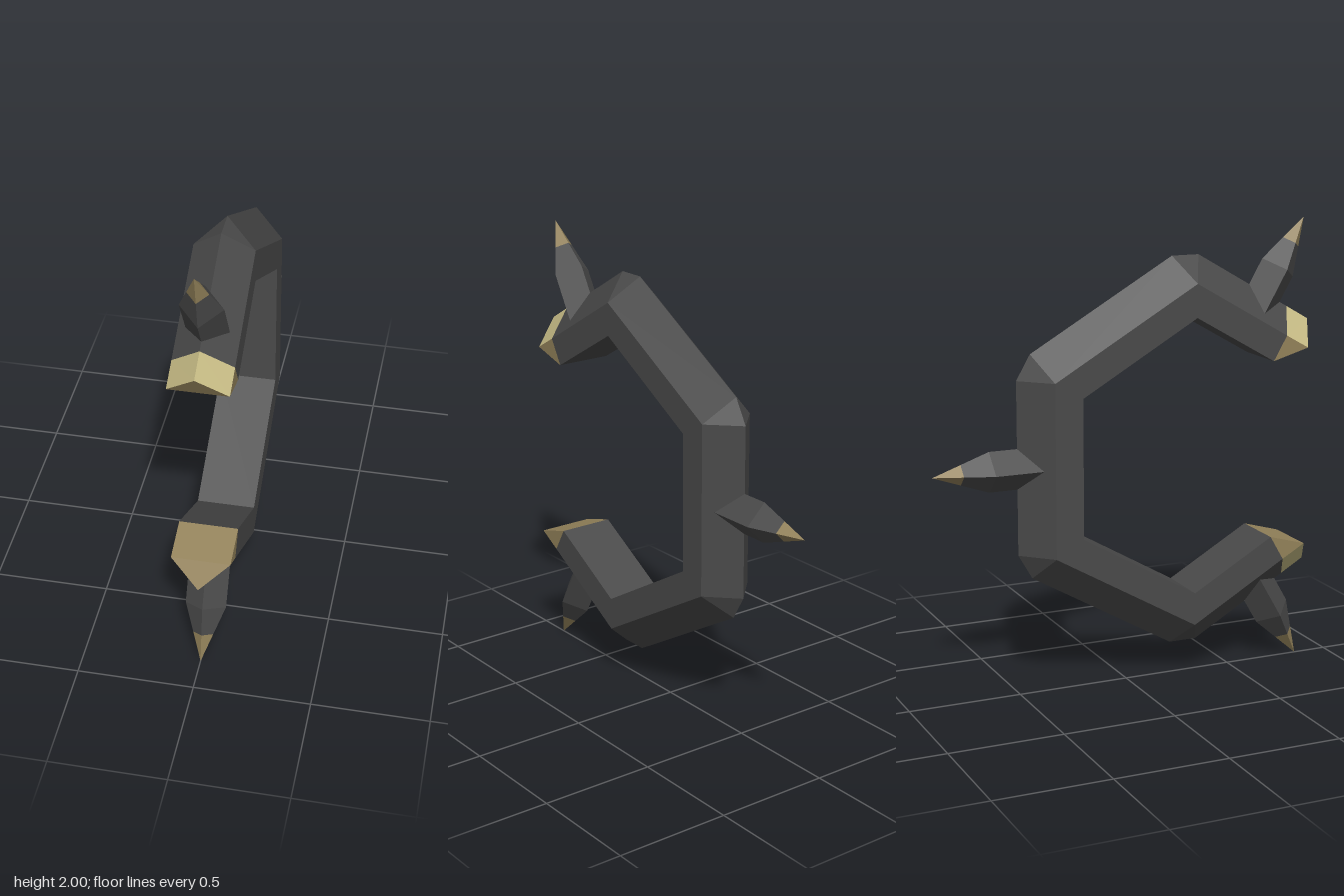
import * as THREE from 'three';

const W = 0.125; // half width of the bar
const R = 0.0875; // half width of a spike

export function createModel() {
  const group = new THREE.Group();
  const mat = (name, color) => {
    const m = new THREE.MeshStandardMaterial({ color, flatShading: true });
    m.name = name;
    return m;
  };
  const darkGrey = mat('darkGrey', 0x4a4a4a);
  const darkGold = mat('darkGold', 0x93825a);
  const paleGold = mat('paleGold', 0xc8bd86);

  // Stations of the upper half, front to back: [z, y] of inner edge, side edge and outer ridge
  const upper = [
    [[0.813, 1.443], [0.813, 1.443], [0.875, 1.55]],
    [[0.645, 1.395], [0.7075, 1.503], [0.77, 1.611]],
    [[0.275, 1.608], [0.275, 1.753], [0.3375, 1.861]],
    [[0.275, 1.608], [0.275, 1.753], [0.2125, 1.861]],
    [[-0.25, 1.304], [-0.375, 1.377], [-0.4375, 1.485]],
    [[-0.25, 1.304], [-0.375, 1.377], [-0.5, 1.377]],
  ];
  const lower = upper.map(s => s.map(([z, y]) => [z, 2 - y])).reverse();
  const rings = [...upper, ...lower].map(([a, b, c]) => [
    [W, a[1], a[0]], [W, b[1], b[0]], [0, c[1], c[0]], [-W, b[1], b[0]], [-W, a[1], a[0]],
  ]);

  const addFaces = (name, material, triangles) => {
    const g = new THREE.BufferGeometry();
    g.setAttribute('position', new THREE.Float32BufferAttribute(triangles.flat(2), 3));
    g.computeVertexNormals();
    const mesh = new THREE.Mesh(g, material);
    mesh.name = name;
    group.add(mesh);
  };
  const same = (p, q) => p.every((v, i) => Math.abs(v - q[i]) < 1e-6);
  // Chosen sides of the bar between neighbouring stations, skipping collapsed triangles
  const strip = (from, to, sides) => {
    const out = [];
    for (let s = from; s < to; s++) {
      for (const i of sides) {
        const j = (i + 1) % 5;
        const [a, b, c, d] = [rings[s][i], rings[s][j], rings[s + 1][j], rings[s + 1][i]];
        for (const t of [[a, d, c], [a, c, b]]) {
          if (!same(t[0], t[1]) && !same(t[1], t[2]) && !same(t[0], t[2])) out.push(t);
        }
      }
    }
    return out;
  };

  // Bent bar with ridged outer side
  const last = rings.length - 1;
  addFaces('bar', darkGrey, strip(1, last - 1, [0, 1, 2, 3, 4]));

  // Gold ends: pale outer faces, darker inner faces and end caps
  const cap = r => [r[1], r[2], r[3]];
  addFaces('upperEndOuter', paleGold, strip(0, 1, [1, 2]));
  addFaces('upperEndInner', darkGold, [...strip(0, 1, [0, 3, 4]), cap(rings[0])]);
  addFaces('lowerEndOuter', paleGold, strip(last - 1, last, [1, 2]));
  addFaces('lowerEndInner', darkGold,
    [...strip(last - 1, last, [0, 3, 4]), cap(rings[last]).reverse()]);

  // Four-sided spikes standing on the ridge, each with a gold point
  const addSpike = (name, y, z, angle) => {
    const spike = new THREE.Group();
    spike.name = name;
    const piece = (part, top, bottom, y0, y1, material) => {
      const g = new THREE.CylinderGeometry(top, bottom, y1 - y0, 4, 1, part !== 'shaft');
      const mesh = new THREE.Mesh(g, material);
      mesh.name = part;
      mesh.position.y = (y0 + y1) / 2;
      spike.add(mesh);
    };
    piece('shaft', R, R, -0.15, 0.125, darkGrey);
    piece('taper', R / 2, R, 0.125, 0.25, darkGrey);
    piece('point', 0, R / 2, 0.25, 0.375, darkGold);
    spike.position.set(0, y, z);
    spike.rotation.x = THREE.MathUtils.degToRad(angle);
    group.add(spike);
  };
  addSpike('upperSpike', 1.675, 0.66, 30);
  addSpike('backSpike', 1, -0.5, -90);
  addSpike('lowerSpike', 0.325, 0.66, 150);

  return group;
}
